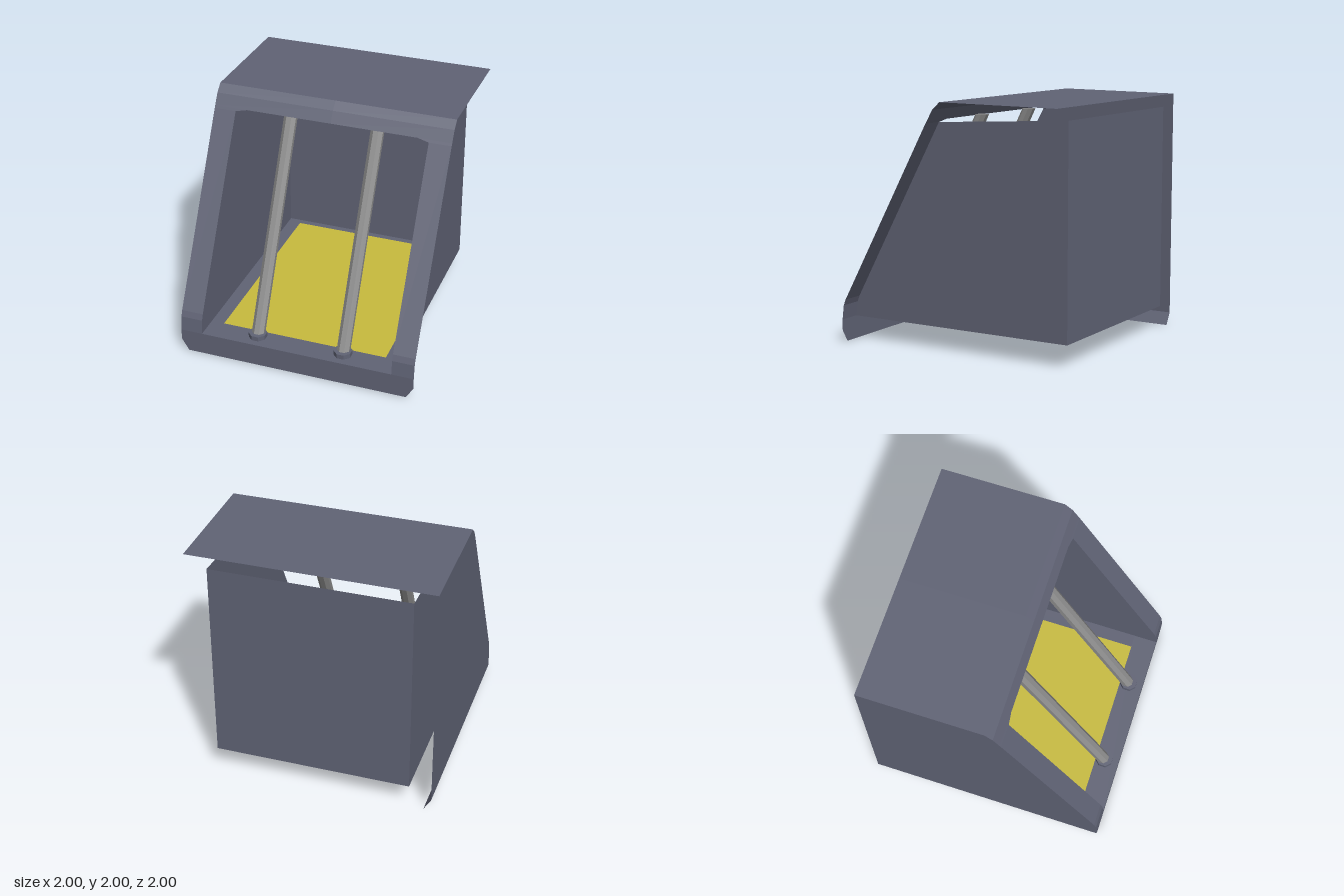
import * as THREE from 'three';

const material = (color) => new THREE.MeshStandardMaterial({ color, flatShading: true, side: THREE.DoubleSide });
const shellMat = material(0x606375);
const padMat = material(0xc8bb3e);
const barMat = material(0x8c8c8c);

// Sheet made of convex polygons, each a list of [x, y, z] corners (counter-clockwise from outside)
function sheet(name, polygons, mat) {
  const pos = [];
  for (const p of polygons)
    for (let i = 1; i < p.length - 1; i++) pos.push(...p[0], ...p[i], ...p[i + 1]);
  const geo = new THREE.BufferGeometry();
  geo.setAttribute('position', new THREE.Float32BufferAttribute(pos, 3));
  geo.computeVertexNormals();
  const mesh = new THREE.Mesh(geo, mat);
  mesh.name = name;
  return mesh;
}

// Flip a polygon to the other side of x = 0, keeping its outside
const mirror = (p) => p.map(([x, y, z]) => [-x, y, z]).reverse();

export function createModel() {
  const model = new THREE.Group();
  model.name = 'barredBay';

  // Front frame and roof: rows of [y, z, inner half width, outer half width]
  const rows = [
    [0, 1, 0, 0.94], [0.1, 1, 0, 1], [0.19, 1, 0, 1],
    [0.19, 1, 0.815, 1], [0.31, 0.985, 0.815, 1], [0.36, 0.965, 0.815, 1],
    [1.83, 0.16, 0.815, 1], [1.85, 0.148, 0.72, 1],
    [1.85, 0.148, 0, 1], [1.94, 0.095, 0, 1], [2, 0.03, 0, 1], [1.99, -1, 0, 1],
  ];
  const strips = [];
  for (let i = 0; i < rows.length - 1; i++) {
    const [y0, z0, in0, out0] = rows[i];
    const [y1, z1, in1, out1] = rows[i + 1];
    if (y0 === y1) continue; // the opening starts or ends here
    const quad = [[in0, y0, z0], [out0, y0, z0], [out1, y1, z1], [in1, y1, z1]];
    strips.push(quad, mirror(quad));
  }
  model.add(sheet('frontFrameAndRoof', strips, shellMat));

  // Outer panel on one side only, with its slanted bottom edge
  const outline = rows.filter((r, i) => i > 0 && i !== 3 && i !== 8).map(([y, z]) => [-1, y, z]);
  outline.push([-1, 0.1, -1]);
  const skirt = [[-1, 0.1, -1], [-0.94, 0, -1], [-0.94, 0, 1], [-1, 0.1, 1]];
  model.add(sheet('outerSidePanel', [outline.reverse(), skirt], shellMat));

  // Inner bay: two sides and a back, open at the top
  const W = 0.815, F = 0.19;
  const side = [
    [W, F, 1], [W, F, -0.995], [W, 1.89, -0.995],
    [W, 1.83, 0.16], [W, 0.36, 0.965], [W, 0.31, 0.985],
  ];
  model.add(sheet('leftBayWall', [side], shellMat));
  model.add(sheet('rightBayWall', [mirror(side)], shellMat));
  model.add(sheet('backBayWall', [[[W, F, -0.995], [-W, F, -0.995], [-W, 1.89, -0.995], [W, 1.89, -0.995]]], shellMat));

  // Floor border around the coloured pad
  const rect = (x0, x1, z0, z1) => [[x0, F, z1], [x1, F, z1], [x1, F, z0], [x0, F, z0]];
  const P = 0.705, back = -0.94, front = 0.8;
  model.add(sheet('floorBorder', [
    rect(-W, W, front, 1), rect(-W, W, -0.995, back),
    rect(-W, -P, back, front), rect(P, W, back, front),
  ], shellMat));
  model.add(sheet('floorPad', [rect(-P, P, back, front)], padMat));

  // Two leaning octagonal bars with level ends, each in a collar
  const y0 = 0.19, y1 = 1.865, z0 = 0.875, z1 = 0.045;
  for (const [label, x] of [['left', 0.367], ['right', -0.37]]) {
    const geo = new THREE.CylinderGeometry(0.056, 0.056, y1 - y0, 8);
    geo.rotateY(Math.PI / 8);
    const pos = geo.attributes.position;
    for (let i = 0; i < pos.count; i++)
      pos.setZ(i, pos.getZ(i) + (z1 - z0) * pos.getY(i) / (y1 - y0));
    geo.computeVertexNormals();
    const bar = new THREE.Mesh(geo, barMat);
    bar.name = label + 'Bar';
    bar.position.set(x, (y0 + y1) / 2, (z0 + z1) / 2);

    const collar = new THREE.Mesh(new THREE.CylinderGeometry(0.076, 0.076, 0.044, 8).rotateY(Math.PI / 8), shellMat);
    collar.name = label + 'BarCollar';
    collar.position.set(x, 0.207, 0.873);
    model.add(bar, collar);
  }
  return model;
}
